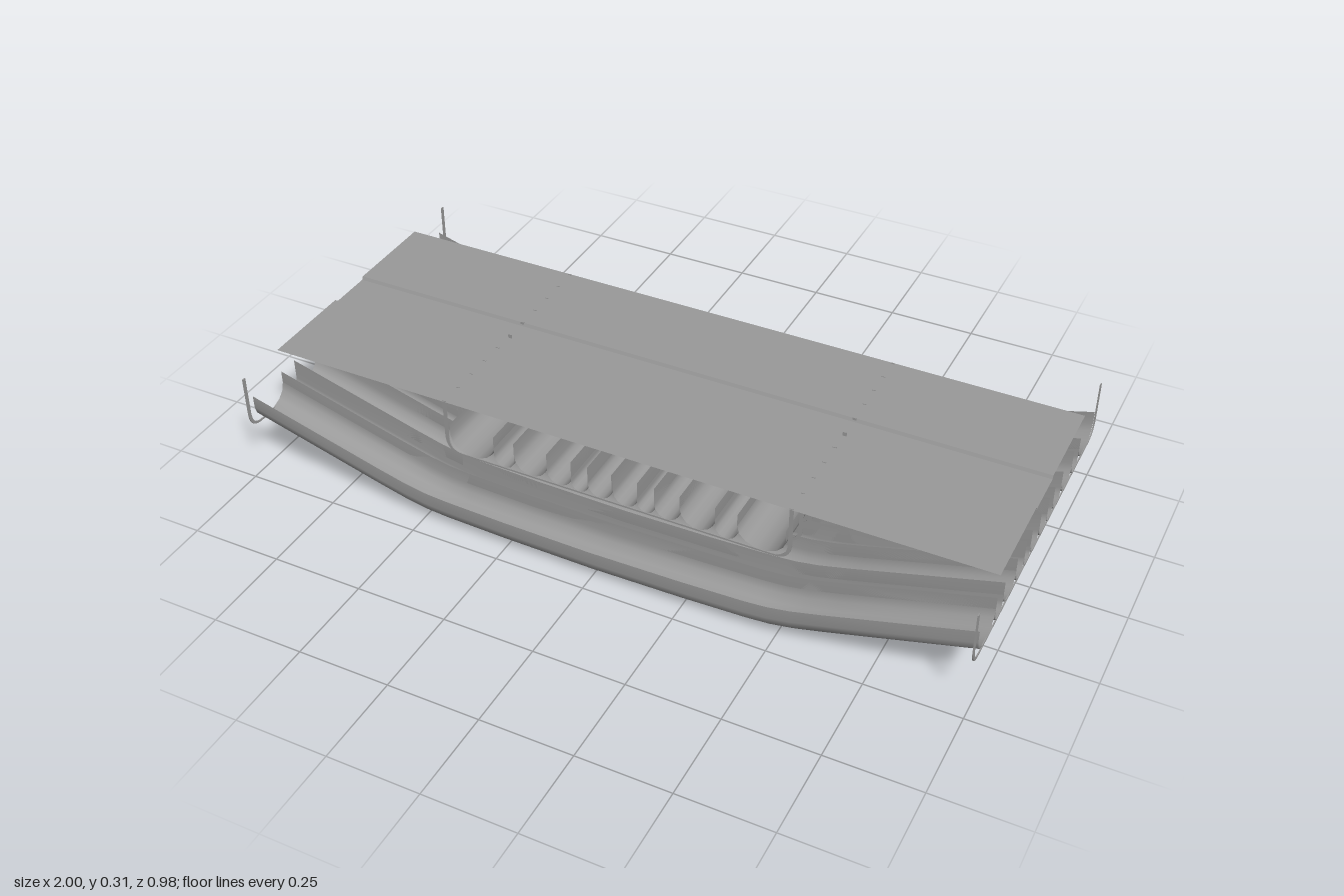
import * as THREE from 'three';

const material = new THREE.MeshStandardMaterial({ color: 0x9a9a9a, side: THREE.DoubleSide });
const WALL = 0.085;       // height of every trough

// Open sheet: a cross-section [u, v] carried through stations by place(u, v, station)
function sweep(section, stations, place) {
  const pos = [], index = [], n = section.length;
  for (const s of stations) for (const [u, v] of section) pos.push(...place(u, v, s));
  for (let i = 0; i < stations.length - 1; i++) {
    for (let j = 0; j < n - 1; j++) {
      const a = i * n + j, b = a + n;
      index.push(a, a + 1, b, b, a + 1, b + 1);
    }
  }
  const g = new THREE.BufferGeometry();
  g.setAttribute('position', new THREE.Float32BufferAttribute(pos, 3));
  g.setIndex(index);
  g.computeVertexNormals();
  return g;
}

// U section: faceted round floor with straight upright walls
function troughSection(width) {
  const r = width / 2, depth = Math.min(r, 0.05), sides = 7, pts = [[-r, WALL]];
  for (let i = 0; i <= sides; i++) {
    const a = Math.PI * (1 + i / sides);
    pts.push([r * Math.cos(a), depth + depth * Math.sin(a)]);
  }
  pts.push([r, WALL]);
  return pts;
}

// U-shaped hanger in the XY plane, extruded to a thin strip
function hangerGeometry(half, bottom, top, corner) {
  const side = 0.01, floor = 0.005, thick = 0.003;
  const s = new THREE.Shape();
  const o = half, i = half - side, b = bottom, c = bottom + floor;
  s.moveTo(-o, top);
  s.lineTo(-o, b + corner);
  s.quadraticCurveTo(-o, b, -o + corner, b);
  s.lineTo(o - corner, b);
  s.quadraticCurveTo(o, b, o, b + corner);
  s.lineTo(o, top);
  s.lineTo(i, top);
  s.lineTo(i, b + corner);
  s.quadraticCurveTo(i, c, o - corner, c);
  s.lineTo(-o + corner, c);
  s.quadraticCurveTo(-i, c, -i, b + corner);
  s.lineTo(-i, top);
  s.closePath();
  const g = new THREE.ExtrudeGeometry(s, { depth: thick, bevelEnabled: false, curveSegments: 8 });
  return g.translate(0, 0, -thick / 2);
}

export function createModel() {
  const model = new THREE.Group();
  const add = (name, geometry, parent = model) => {
    const m = new THREE.Mesh(geometry, material);
    m.name = name;
    parent.add(m);
    return m;
  };
  const group = (name) => {
    const g = new THREE.Group();
    g.name = name;
    model.add(g);
    return g;
  };

  // Trough edges measured out from the centre line, mirrored to both sides
  const edges = [0.002, 0.068, 0.114, 0.182, 0.275, 0.333, 0.458];
  const forEachTrough = (fn) => {
    for (let i = 0; i < edges.length - 1; i++) {
      const width = edges[i + 1] - edges[i], centre = (edges[i] + edges[i + 1]) / 2;
      for (const side of [-1, 1]) fn(width, side * centre);
    }
  };

  // Lengthwise lower troughs, rising towards both ends
  const rise = [[0, 0], [0.25, 0.004], [0.42, 0.01], [0.48, 0.015], [0.54, 0.026], [0.62, 0.047], [1, 0.155]];
  const path = [...rise.slice(1).reverse().map(([x, y]) => [-x, y]), ...rise];
  const lower = group('lowerTroughs');
  forEachTrough((w, c) =>
    add('lowerTrough', sweep(troughSection(w), path, (u, v, [x, y]) => [x, y + v, c + u]), lower));

  // Crosswise middle troughs
  const middle = group('middleTroughs');
  const scale = 0.472 / 0.458;
  forEachTrough((w, c) =>
    add('middleTrough', sweep(troughSection(w * scale), [-0.333, 0.333],
      (u, v, z) => [c * scale + u, 0.156 + v, z]), middle));

  // Deck: one folded sheet with a shallow channel along the middle, built as
  // separate strips so that the folds stay sharp
  const deck = group('deck');
  const top = 0.311, low = 0.302;
  const fold = [[-0.335, top], [-0.067, top], [-0.063, low], [0.063, low], [0.067, top], [0.335, top]];
  const names = ['deckPanel', 'channelWall', 'channelFloor', 'channelWall', 'deckPanel'];
  names.forEach((name, i) =>
    add(name, sweep(fold.slice(i, i + 2), [-1, 1], (u, v, x) => [x, v, u]), deck));

  // Row of hangers carrying the middle troughs below the deck
  const hangers = group('middleHangers');
  const hanger = hangerGeometry(0.488, 0.151, 0.313, 0.05);
  for (let i = -5; i <= 5; i++) add('middleHanger', hanger, hangers).position.z = i * 0.0664;

  // End hangers under both ends of the lower troughs
  for (const side of [-1, 1]) {
    const m = add('endHanger', hanger);
    m.rotation.y = Math.PI / 2;
    m.position.x = side * 0.9985;
  }

  return model;
}
